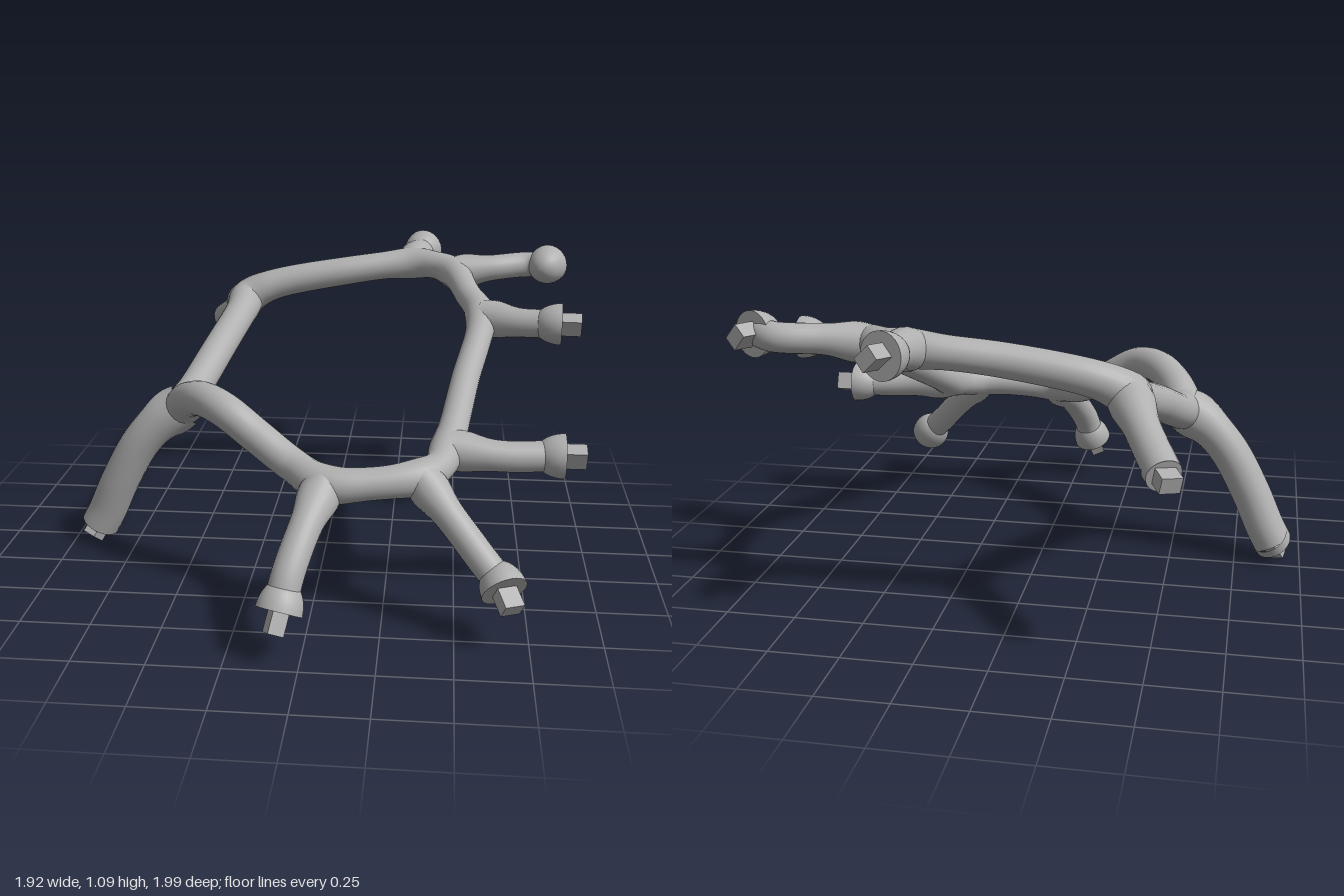
import * as THREE from 'three';

const V = (p) => new THREE.Vector3(...p);
const curveOf = (pts, closed = false) => new THREE.CatmullRomCurve3(pts.map(V), closed, 'centripetal');

// Junctions where branches leave the ring
const J = {
  left: [-0.53, 0.59, 0.08],
  backLeft: [-0.39, 0.845, -0.62],
  back: [0.3, 0.985, -0.71],
  backRight: [0.47, 0.97, -0.61],
  right: [0.58, 0.87, -0.26],
  frontRight: [0.46, 0.56, 0.4],
  frontMid: [0.37, 0.52, 0.57],
  front: [0.05, 0.5, 0.615],
};

// Closed loop of the frame
const RING = [
  J.left, [-0.46, 0.715, -0.28], [-0.405, 0.81, -0.54], J.backLeft, [-0.3, 0.89, -0.645],
  [0, 0.95, -0.675], J.back, [0.4, 0.985, -0.675], J.backRight, [0.53, 0.92, -0.43], J.right,
  [0.52, 0.71, 0.07], J.frontRight, [0.43, 0.53, 0.5], J.frontMid, [0.21, 0.505, 0.61], J.front,
  [-0.07, 0.525, 0.51], [-0.2, 0.6, 0.445], [-0.32, 0.675, 0.395], [-0.42, 0.685, 0.3],
  [-0.5, 0.64, 0.18],
];

// Branches: path, outward direction of the end face, tube radius, cup or plain end
const BRANCHES = [
  { name: 'longLeg', r: 0.074, dir: [-0.45, -0.75, 0.45],
    path: [J.left, [-0.62, 0.53, 0.085], [-0.71, 0.43, 0.085], [-0.8, 0.27, 0.075], [-0.86, 0.14, 0.06], [-0.895, 0.075, 0.055]] },
  { name: 'backLeftArm', r: 0.06, dir: [-0.45, -0.25, -0.87],
    path: [J.backLeft, [-0.46, 0.76, -0.76], [-0.54, 0.68, -0.925]] },
  { name: 'backArm', r: 0.055, cup: true, dir: [0.35, 0.1, -0.93],
    path: [J.back, [0.32, 1.0, -0.8], [0.345, 1.01, -0.915]] },
  { name: 'backRightArm', r: 0.052, cup: true, dir: [0.42, 0.05, -0.9],
    path: [J.backRight, [0.62, 0.985, -0.64], [0.78, 0.995, -0.68], [0.865, 1.0, -0.675]] },
  { name: 'rightArm', r: 0.055, cup: true, dir: [1, 0, 0.06],
    path: [J.right, [0.72, 0.865, -0.21], [0.885, 0.87, -0.175]] },
  { name: 'frontRightArm', r: 0.055, cup: true, dir: [1, 0, 0],
    path: [J.frontRight, [0.66, 0.54, 0.4], [0.87, 0.54, 0.38]] },
  { name: 'frontMidLeg', r: 0.053, cup: true, dir: [0.35, -0.55, 0.75],
    path: [J.frontMid, [0.5, 0.38, 0.65], [0.61, 0.26, 0.72], [0.66, 0.205, 0.77]] },
  { name: 'frontLeg', r: 0.056, cup: true, dir: [-0.2, -0.85, 0.45],
    path: [J.front, [-0.005, 0.39, 0.76], [-0.045, 0.28, 0.86], [-0.07, 0.17, 0.915]] },
];

// Tube whose radius follows radiusAt(point, distance along the path)
function taperedTube(curve, segments, radiusAt, closed) {
  const sides = 24;
  const geo = new THREE.TubeGeometry(curve, segments, 1, sides, closed);
  const pos = geo.attributes.position, nor = geo.attributes.normal;
  const length = curve.getLength();
  for (let i = 0; i <= segments; i++) {
    const c = curve.getPointAt(i / segments);
    const r = radiusAt(c, (i / segments) * length);
    for (let j = 0; j <= sides; j++) {
      const k = i * (sides + 1) + j;
      pos.setXYZ(k, c.x + nor.getX(k) * r, c.y + nor.getY(k) * r, c.z + nor.getZ(k) * r);
    }
  }
  return geo;
}

export function createModel() {
  const group = new THREE.Group();
  const grey = new THREE.MeshStandardMaterial({ color: 0xb0b0b0 });
  grey.name = 'plain grey';

  const add = (parent, geo, name) => {
    const mesh = new THREE.Mesh(geo, grey);
    mesh.name = name;
    parent.add(mesh);
    return mesh;
  };

  // Ring, slimmer toward the right and swollen at each junction
  const joints = Object.values(J).map(V);
  const ringRadius = (p) => {
    const d = Math.min(...joints.map((j) => j.distanceTo(p)));
    return 0.059 - 0.012 * p.x + 0.01 * Math.exp(-((d / 0.08) ** 2));
  };
  add(group, taperedTube(curveOf(RING, true), 260, ringRadius, true), 'ring');

  // Half-dome profile for the cups
  const CUP_R = 0.08, CUP_L = 0.11;
  const cupProfile = [];
  for (let i = 0; i <= 10; i++) {
    const a = (i / 10) * Math.PI / 2;
    cupProfile.push(new THREE.Vector2(CUP_R * Math.sin(a), -CUP_L * Math.cos(a)));
  }

  for (const b of BRANCHES) {
    const branch = new THREE.Group();
    branch.name = b.name;
    group.add(branch);

    // Limb with a fillet-like flare at its root
    const curve = curveOf(b.path);
    const radius = (p, s) => b.r + 0.018 * Math.exp(-(((s - 0.05) / 0.07) ** 2));
    // stop inside the cup when there is one
    const cut = b.cup ? curveOf([...b.path.slice(0, -1),
      V(b.path.at(-1)).addScaledVector(V(b.dir).normalize(), -0.035).toArray()]) : curve;
    add(branch, taperedTube(cut, 40, radius, false), 'limb');

    // End fitting built along +y, then turned to face outward
    const end = new THREE.Group();
    end.name = 'endFitting';
    end.position.copy(V(b.path.at(-1)));
    end.quaternion.setFromUnitVectors(new THREE.Vector3(0, 1, 0), V(b.dir).normalize());
    branch.add(end);

    if (b.cup) add(end, new THREE.LatheGeometry(cupProfile, 28), 'cup');
    else add(end, new THREE.CylinderGeometry(b.r, b.r, 0.04, 28, 1, true).translate(0, -0.02, 0), 'collar');
    add(end, new THREE.CircleGeometry(b.cup ? CUP_R : b.r, 28).rotateX(-Math.PI / 2), 'endFace');
    const peg = add(end, new THREE.BoxGeometry(0.07, 0.1, 0.055), 'peg');
    peg.position.y = b.cup ? 0.025 : 0.01;
    peg.rotation.y = 0.4;
  }
  return group;
}
